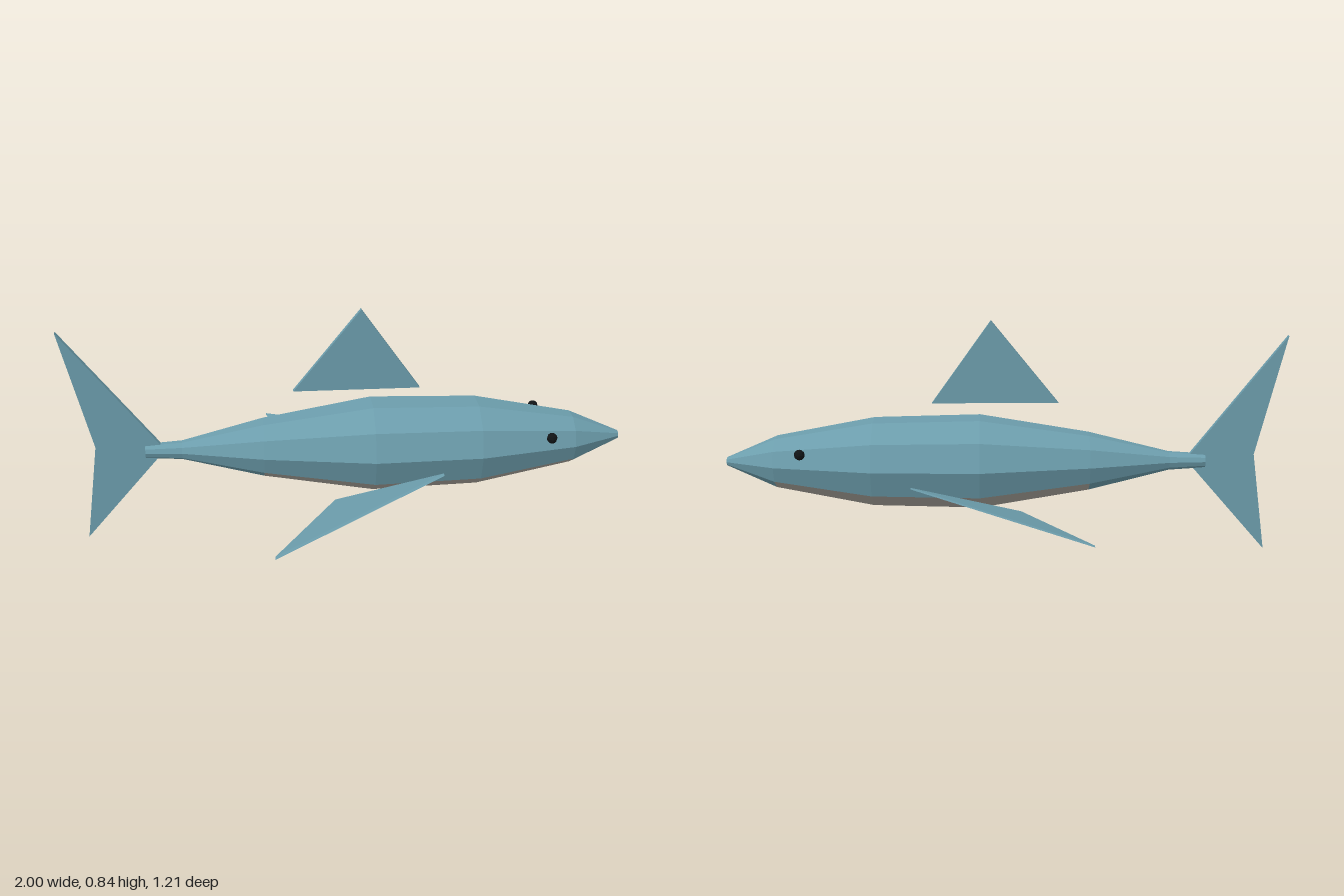
import * as THREE from 'three';

const SIDES = 10;
const AXIS_Y = 0.336;
// Body stations from tail to nose: [x, half width]
const STATIONS = [
  [-0.72, 0.027], [-0.59, 0.036], [-0.3, 0.112], [0.09, 0.18],
  [0.47, 0.17], [0.82, 0.1], [1, 0.016],
];

const paint = (color) => new THREE.MeshStandardMaterial({ color, flatShading: true });

function makeMesh(name, geometry, material) {
  const mesh = new THREE.Mesh(geometry, material);
  mesh.name = name;
  return mesh;
}

function fromTriangles(positions) {
  const g = new THREE.BufferGeometry();
  g.setAttribute('position', new THREE.Float32BufferAttribute(positions, 3));
  g.computeVertexNormals();
  return g;
}

// Point on a body ring; the section is slightly wider than tall
function ringPoint(i, k) {
  const [x, r] = STATIONS[i];
  const a = (k / SIDES) * Math.PI * 2;
  return [x, AXIS_Y + r * 0.93 * Math.sin(a), r * Math.cos(a)];
}

// Ten-sided body, with the three lowest sides of the middle split off as belly
function bodyGeometries() {
  const back = [], belly = [];
  const last = STATIONS.length - 1;
  for (let k = 0; k < SIDES; k++) {
    for (let i = 0; i < last; i++) {
      const isBelly = k >= 6 && k <= 8 && i >= 2 && i <= 4;
      const a = ringPoint(i, k), b = ringPoint(i + 1, k);
      const c = ringPoint(i + 1, k + 1), d = ringPoint(i, k + 1);
      (isBelly ? belly : back).push(...a, ...b, ...c, ...a, ...c, ...d);
    }
    // end caps
    back.push(STATIONS[0][0], AXIS_Y, 0, ...ringPoint(0, k), ...ringPoint(0, k + 1));
    back.push(STATIONS[last][0], AXIS_Y, 0, ...ringPoint(last, k + 1), ...ringPoint(last, k));
  }
  return [fromTriangles(back), fromTriangles(belly)];
}

// Thin upright plate from an outline of [x, y] points
function plate(points, thickness = 0.02) {
  const shape = new THREE.Shape(points.map(([x, y]) => new THREE.Vector2(x, y)));
  const g = new THREE.ExtrudeGeometry(shape, { depth: thickness, bevelEnabled: false });
  return g.translate(0, 0, -thickness / 2);
}

// Side fin: a plate sheared outwards so that its rear tip sweeps away from the body
function sideFin(side) {
  const g = plate([[0.33, 0.283], [-0.28, 0.213], [-0.055, 0.197]]);
  const p = g.attributes.position;
  for (let i = 0; i < p.count; i++) {
    const reach = p.getX(i) < -0.2 ? 0.595 : 0.177;
    p.setZ(i, p.getZ(i) + side * reach);
  }
  g.computeVertexNormals();
  return g;
}

export function createModel() {
  const group = new THREE.Group();
  const skin = paint(0x6c9dac);
  const finSkin = paint(0x6c9dac);
  finSkin.side = THREE.DoubleSide;
  const pale = paint(0xa8a49c);
  const black = paint(0x111416);

  const [back, belly] = bodyGeometries();
  group.add(makeMesh('body', back, skin), makeMesh('belly', belly, pale));

  // Upright fins
  group.add(makeMesh('dorsalFin', plate([[-0.19, 0.55], [0.26, 0.55], [0.05, 0.845]]), finSkin));
  group.add(makeMesh('tailFin',
    plate([[-0.65, 0.342], [-1, 0.79], [-0.895, 0.36], [-0.945, 0.005]]), finSkin));

  // Paired side fins and eyes
  for (const [label, side] of [['front', 1], ['back', -1]]) {
    group.add(makeMesh(label + 'SideFin', sideFin(side), finSkin));
    const eye = makeMesh(label + 'Eye', new THREE.SphereGeometry(0.019, 8, 6), black);
    eye.position.set(0.715, 0.398, side * 0.153);
    group.add(eye);
  }
  return group;
}
